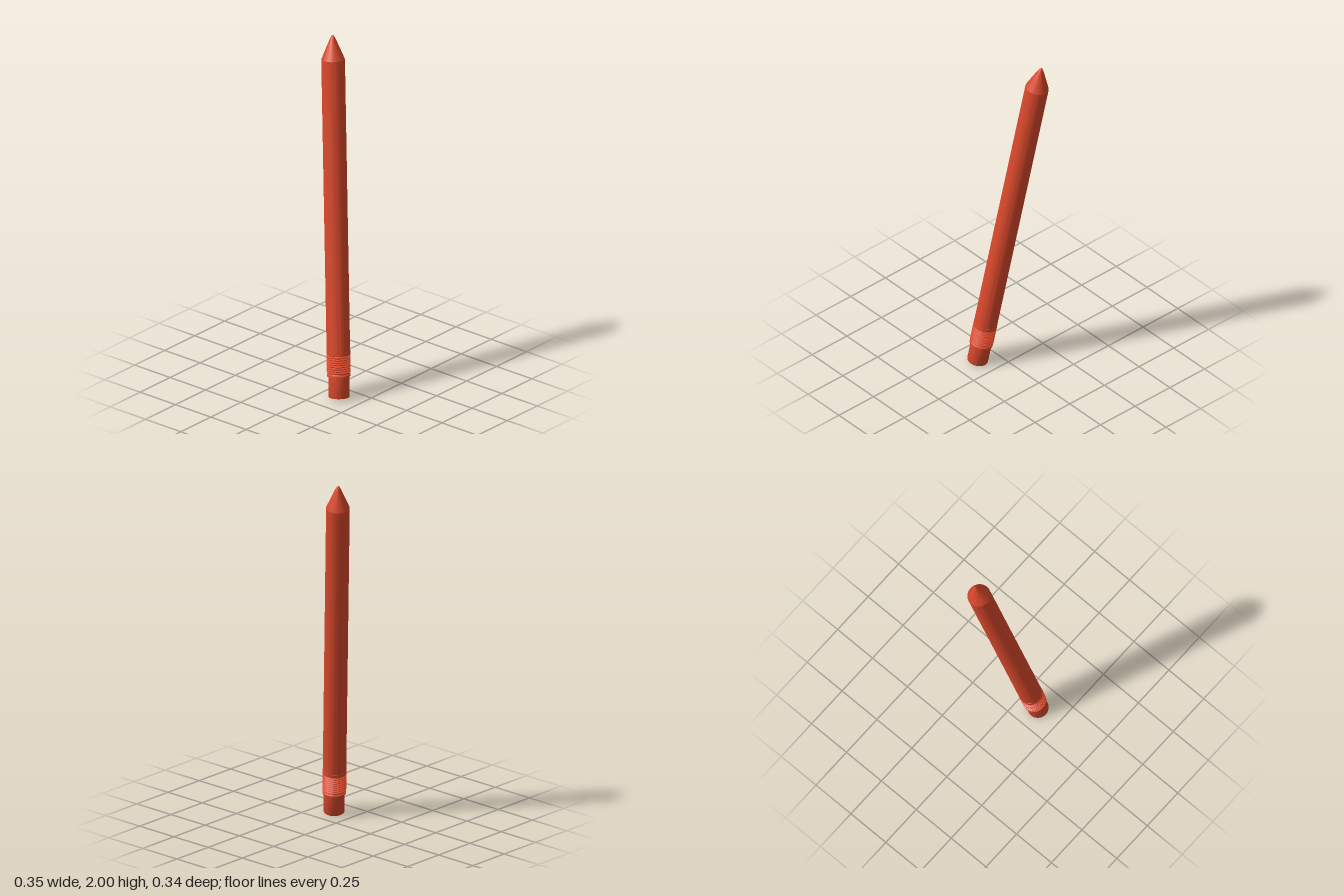
import * as THREE from 'three';
import { toCreasedNormals } from 'three/addons/utils/BufferGeometryUtils.js';

const red = new THREE.MeshStandardMaterial({ color: 0xd9482b });

// Turned part from [radius, height] pairs listed bottom to top
function turned(name, profile) {
  const points = profile.map(([r, h]) => new THREE.Vector2(r, h));
  const geometry = toCreasedNormals(new THREE.LatheGeometry(points, 64), 0.4);
  const mesh = new THREE.Mesh(geometry, red);
  mesh.name = name;
  return mesh;
}

export function createModel() {
  const model = new THREE.Group();
  model.name = 'pencil';

  // Plain cylindrical end with a flat base
  model.add(turned('eraser', [[0, 0], [0.056, 0], [0.057, 0.003], [0.057, 0.12], [0, 0.12]]));

  // Ribbed sleeve between two plain collars
  const ribs = 8, start = 0.135, pitch = 0.0125;
  const sleeve = [[0.055, 0.117], [0.064, 0.117], [0.064, 0.126], [0.057, 0.13], [0.055, start]];
  for (let i = 0; i < ribs; i++) {
    const h = start + i * pitch;
    sleeve.push([0.065, h + pitch * 0.42], [0.065, h + pitch * 0.58], [0.055, h + pitch]);
  }
  sleeve.push([0.062, 0.237], [0.0645, 0.239], [0.0645, 0.258], [0.06, 0.26]);
  model.add(turned('ferrule', sleeve));

  // Long round barrel
  model.add(turned('barrel', [[0, 0.25], [0.0635, 0.25], [0.064, 1.883], [0, 1.883]]));

  // Sharpened cone and its rounded point
  model.add(turned('sharpenedCone', [[0.064, 1.883], [0.041, 1.938], [0.02, 1.987]]));
  model.add(turned('point', [[0.02, 1.987], [0.0165, 1.996], [0.011, 2.007], [0.005, 2.016], [0, 2.02]]));

  // Lean the whole pencil back and to its right
  const axis = new THREE.Vector3(-0.125, 1, -0.12).normalize();
  model.quaternion.setFromUnitVectors(new THREE.Vector3(0, 1, 0), axis);
  model.position.set(0.12, 0.01, 0.115);

  const group = new THREE.Group();
  group.add(model);
  return group;
}
